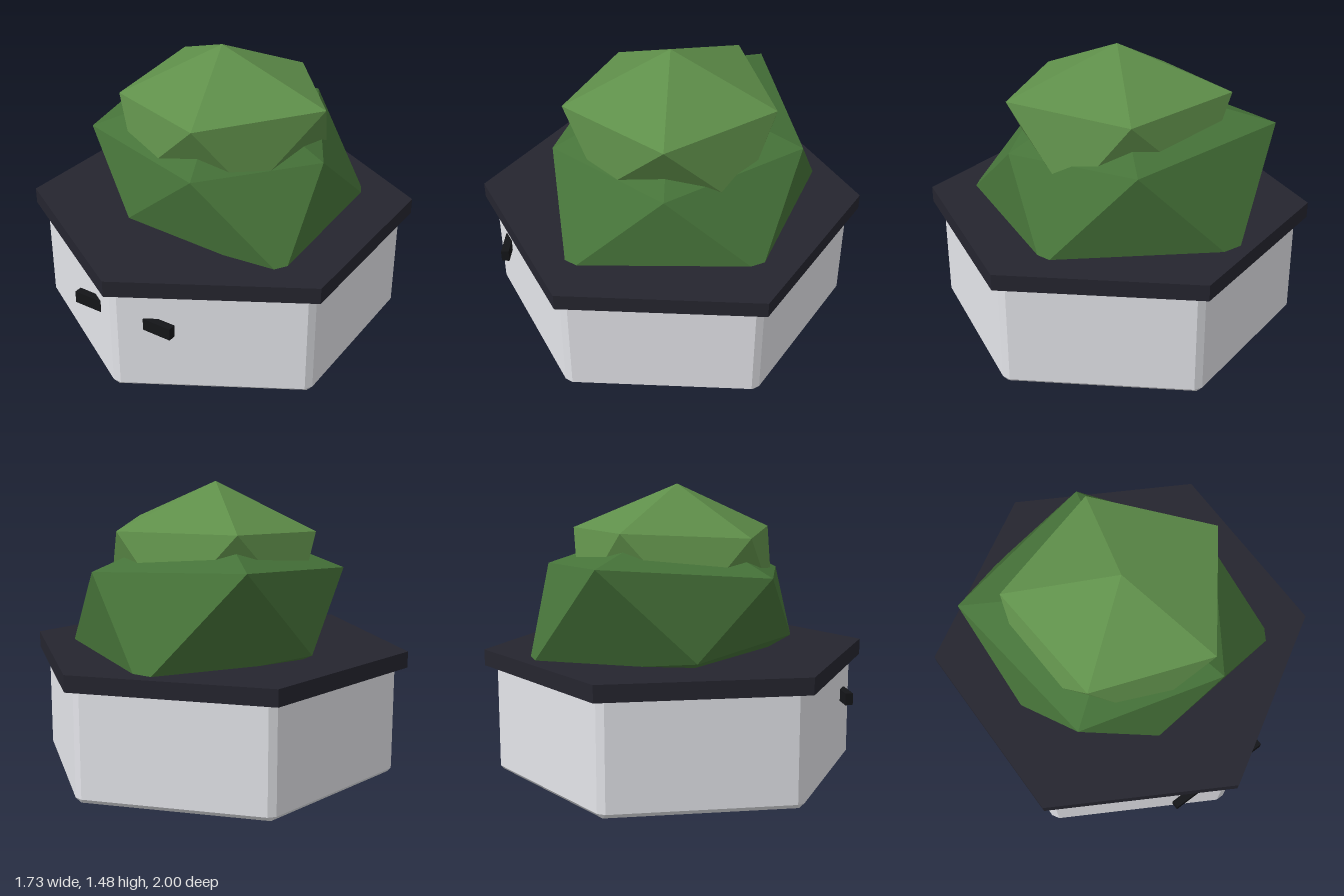
import * as THREE from 'three';
import { ConvexGeometry } from 'three/addons/geometries/ConvexGeometry.js';

const V = (x, y, z) => new THREE.Vector3(x, y, z);

function addMesh(parent, name, geometry, color) {
  const mesh = new THREE.Mesh(geometry, new THREE.MeshStandardMaterial({ color, flatShading: true }));
  mesh.name = name;
  parent.add(mesh);
  return mesh;
}

// Irregular icosahedron: two poles and two staggered rings of five points
function foliage(top, upper, lower, bottom) {
  const pos = [];
  const tri = (...pts) => pts.forEach((p) => pos.push(...p));
  for (let i = 0; i < 5; i++) {
    const j = (i + 1) % 5;
    tri(top, upper[j], upper[i]);
    tri(upper[i], upper[j], lower[i]);
    tri(lower[i], upper[j], lower[j]);
    tri(bottom, lower[i], lower[j]);
  }
  const g = new THREE.BufferGeometry();
  g.setAttribute('position', new THREE.Float32BufferAttribute(pos, 3));
  g.computeVertexNormals();
  return g;
}

// Hexagonal prism with chamfered upright edges and a bevelled foot
function planterBody(apothem, height, bevel) {
  const corner = (i, a) => V(Math.sin(i * Math.PI / 3), 0, Math.cos(i * Math.PI / 3)).multiplyScalar(a / Math.cos(Math.PI / 6));
  const points = [];
  for (let i = 0; i < 6; i++) {
    const c = corner(i, apothem);
    points.push(corner(i, apothem - bevel));
    for (const n of [i - 1, i + 1]) {
      const p = c.clone().add(corner(n, apothem).sub(c).setLength(bevel));
      points.push(p.clone().setY(bevel), p.clone().setY(height));
    }
  }
  return new ConvexGeometry(points);
}

export function createModel() {
  const model = new THREE.Group();
  model.name = 'hexagonalPlanter';

  // Planter
  addMesh(model, 'planterBody', planterBody(0.82, 0.57, 0.025), 0xe4e5ea);
  addMesh(model, 'planterRim', new THREE.CylinderGeometry(1, 1, 0.083, 6), 0x25252f).position.y = 0.6;

  // Front slots
  for (const side of [-1, 1]) {
    addMesh(model, side > 0 ? 'leftSlot' : 'rightSlot', new THREE.BoxGeometry(0.155, 0.062, 0.04), 0x141518)
      .position.set(side * 0.207, 0.38, 0.857);
  }

  // Bush
  addMesh(model, 'lowerFoliage', foliage(
    [0, 1.3, 0],
    [[0.59, 0.99, 0], [0.2, 1.02, 0.575], [-0.54, 1.05, 0.38], [-0.65, 1.12, -0.47], [0.2, 1.06, -0.66]],
    [[0.65, 0.6, 0.47], [-0.18, 0.71, 0.565], [-0.65, 0.67, 0], [-0.27, 0.58, -0.78], [0.61, 0.6, -0.47]],
    [0, 0.35, 0]), 0x467339);
  addMesh(model, 'upperFoliage', foliage(
    [0, 1.48, 0],
    [[0.59, 1.265, 0], [0.17, 1.245, 0.52], [-0.42, 1.23, 0.3], [-0.47, 1.265, -0.34], [0.17, 1.25, -0.525]],
    [[0.37, 0.9, 0.32], [-0.2, 0.9, 0.46], [-0.57, 0.9, -0.02], [-0.2, 0.9, -0.52], [0.42, 0.87, -0.36]],
    [0, 0.64, 0]), 0x5f8f4a);

  return model;
}
